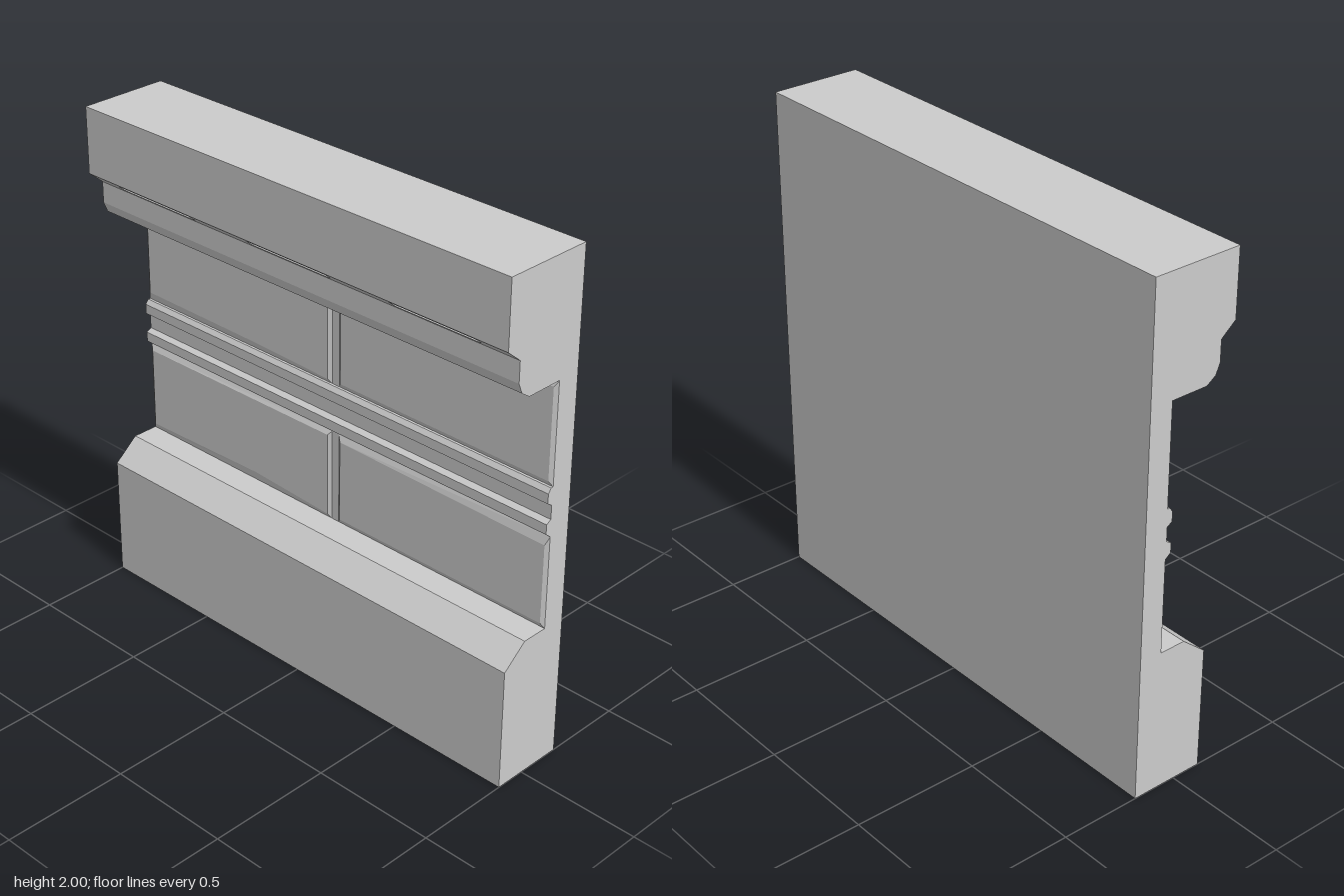
import * as THREE from 'three';

const WALL = -0.086, FACE = -0.076, BACK = -0.18;
const material = new THREE.MeshStandardMaterial({ color: 0xcccccc, flatShading: true, side: THREE.DoubleSide });

function addMesh(group, name, geometry) {
  const mesh = new THREE.Mesh(geometry, material);
  mesh.name = name;
  group.add(mesh);
}

// Extrudes a [z, y] cross-section along x from x0 to x1
function extrudeAlongX(profile, x0, x1) {
  const shape = new THREE.Shape(profile.map(([z, y]) => new THREE.Vector2(z, y)));
  const geometry = new THREE.ExtrudeGeometry(shape, { depth: x1 - x0, bevelEnabled: false });
  return geometry.rotateY(-Math.PI / 2).translate(x1, 0, 0);
}

// Bevelled stone slab: an outer outline on the wall joined to an inner outline on its face
function slab(outer, inner) {
  const n = outer.length;
  const positions = [...outer.map(([x, y]) => [x, y, WALL]), ...inner.map(([x, y]) => [x, y, FACE])].flat();
  const index = [];
  for (let i = 0; i < n; i++) {
    const j = (i + 1) % n;
    index.push(i, j, n + j, i, n + j, n + i);
  }
  const faces = THREE.ShapeUtils.triangulateShape(inner.map(([x, y]) => new THREE.Vector2(x, y)), []);
  for (const f of faces) index.push(...f.map((k) => k + n));
  const geometry = new THREE.BufferGeometry();
  geometry.setAttribute('position', new THREE.Float32BufferAttribute(positions, 3));
  geometry.setIndex(index);
  const flat = geometry.toNonIndexed();
  flat.computeVertexNormals();
  return flat;
}

export function createModel() {
  const group = new THREE.Group();
  group.name = 'wallSection';

  // Shallow groove cut into the sloping underside of the cornice
  const groove = [[0.167, 1.729], [0.155, 1.743], [0.122, 1.715], [0.134, 1.702]];

  // Base, wall and cornice in one cross-section, with a raised double moulding
  const wallProfile = [
    [BACK, 0], [0.12, 0], [0.12, 0.49], [0.02, 0.572], [WALL, 0.572],
    [WALL, 0.945], [-0.063, 0.963], [-0.063, 1.002], [-0.084, 1.014],
    [-0.084, 1.07], [-0.063, 1.083], [-0.063, 1.122], [-0.076, 1.14], [WALL, 1.14],
    [WALL, 1.54], [0.065, 1.54], [0.103, 1.566], [0.12, 1.607], [0.12, 1.69],
    ...groove.slice().reverse(),
    [0.18, 1.74], [0.18, 2], [BACK, 2],
  ];
  addMesh(group, 'wallAndCornice', extrudeAlongX(wallProfile, -1, 1));

  // Fillers close the groove, leaving three slots
  const fillers = [[-1, -0.855], [-0.48, -0.188], [0.188, 0.48], [0.855, 1]];
  for (const [x0, x1] of fillers) addMesh(group, 'slotDivider', extrudeAlongX(groove, x0, x1));

  // Four slabs: outer x0, x1, y0, y1; face heights at bottom left, middle, right, then top right, left
  const slabs = [
    ['upperRightSlab', -1, -0.02, 1.14, 1.538, [1.173, 1.168, 1.157, 1.52, 1.518]],
    ['upperLeftSlab', 0.015, 1, 1.14, 1.538, [1.16, 1.16, 1.16, 1.515, 1.5]],
    ['lowerRightSlab', -1, -0.02, 0.572, 0.943, [0.595, 0.61, 0.59, 0.926, 0.922]],
    ['lowerLeftSlab', 0.015, 1, 0.572, 0.943, [0.592, 0.592, 0.592, 0.908, 0.92]],
  ];
  for (const [name, x0, x1, y0, y1, h] of slabs) {
    const mid = x0 + (x1 - x0) * 0.6, l = x0 + 0.014, r = x1 - 0.014;
    addMesh(group, name, slab(
      [[x0, y0], [mid, y0], [x1, y0], [x1, y1], [x0, y1]],
      [[l, h[0]], [mid, h[1]], [r, h[2]], [r, h[3]], [l, h[4]]],
    ));
  }
  return group;
}
